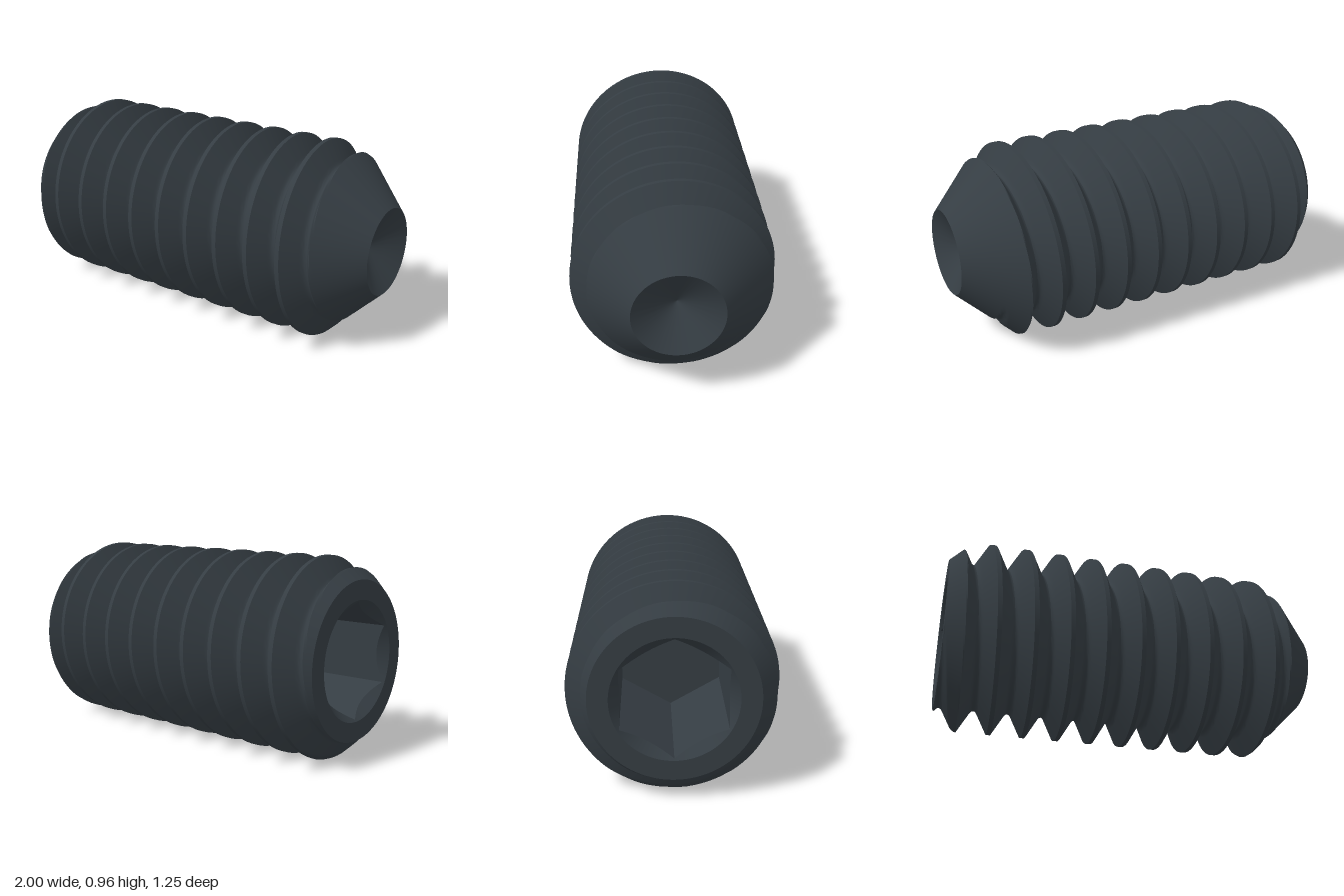
import * as THREE from 'three';
import { toCreasedNormals } from 'three/addons/utils/BufferGeometryUtils.js';

const SIDES = 96;
const CREST = 0.48, ROOT = 0.367, PITCH = 0.172;
const START = -0.959, END = 0.959;        // socket face and cup rim along the axis
const PHASE = 0.565;                      // axial position of a crest at angle 0
const FACE_R = 0.378, RIM_R = 0.21;       // radii of socket face and cup rim
const SINK_R = 0.285, APOTHEM = 0.24, SOCKET_DEPTH = 0.6;

// Sweeps a profile(angle) -> [[axial, radius], ...] around the x axis.
function skin(profile, crease = 0.5) {
  const rings = [];
  for (let j = 0; j <= SIDES; j++) {
    const a = (j / SIDES) * Math.PI * 2;
    rings.push(profile(a).map(([s, r]) => new THREE.Vector3(s, r * Math.sin(a), -r * Math.cos(a))));
  }
  const out = [];
  const tri = new THREE.Triangle();
  const add = (a, b, c) => {
    if (tri.set(a, b, c).getArea() < 1e-8) return;
    for (const p of [a, b, c]) out.push(p.x, p.y, p.z);
  };
  for (let j = 0; j < SIDES; j++) {
    const p = rings[j], q = rings[j + 1];
    for (let i = 0; i < p.length - 1; i++) {
      add(p[i], q[i], q[i + 1]);
      add(p[i], q[i + 1], p[i + 1]);
    }
  }
  const geometry = new THREE.BufferGeometry();
  geometry.setAttribute('position', new THREE.Float32BufferAttribute(out, 3));
  return toCreasedNormals(geometry, crease);
}

// Thread section: flat crest, 30 degree flanks, rounded root (t in pitches).
const HALF = [0, 0.0625, 0.09, 0.12, 0.15, 0.18, 0.21, 0.24, 0.27, 0.3, 0.33, 0.365, 0.4, 0.43, 0.46, 0.5];
const STEPS = [...HALF, ...HALF.slice(1, -1).reverse().map((t) => 1 - t)];
function threadRadius(t) {
  const d = Math.min(t, 1 - t);
  if (d <= 0.0625) return CREST;
  if (d <= 0.4) return CREST - (d - 0.0625) * PITCH * Math.sqrt(3);
  const edge = CREST - 0.3375 * PITCH * Math.sqrt(3);
  return ROOT + (edge - ROOT) * ((0.5 - d) / 0.1) ** 2;
}

// Right-hand helix trimmed by the chamfer at one end and the cone at the other.
function bodyProfile(angle) {
  const points = [];
  for (let k = -10; k <= 2; k++) {
    for (const t of STEPS) {
      const s = THREE.MathUtils.clamp(PHASE + PITCH * (k + t + angle / (2 * Math.PI)), START, END);
      const r = Math.min(threadRadius(t), FACE_R + 0.9 * (s - START), RIM_R + (END - s));
      // clamped points sit on the end circles
      points.push([s, s === START ? FACE_R : s === END ? RIM_R : r]);
    }
  }
  return points;
}

// Hexagon radius, with corners at the top and bottom.
function hexRadius(angle) {
  const sector = Math.PI / 3;
  const local = (((angle % sector) + sector) % sector) - sector / 2;
  // flats face angle 0, 60, 120...
  return APOTHEM / Math.cos(sector / 2 - Math.abs(local));
}

function socketProfile(angle) {
  const h = hexRadius(angle);
  return [
    [START + SOCKET_DEPTH, 0],
    [START + SOCKET_DEPTH, h],
    [START + SINK_R - h, h],
    [START, SINK_R],
    [START, FACE_R],
  ];
}

const cupProfile = () => [[END, RIM_R], [END - 0.06, RIM_R / 2], [END - 0.12, 0]];

export function createModel() {
  const steel = new THREE.MeshStandardMaterial({ color: 0x353d43 });
  steel.name = 'blackened steel';

  const screw = new THREE.Group();
  screw.name = 'setScrew';
  const part = (name, geometry) => {
    const mesh = new THREE.Mesh(geometry, steel);
    mesh.name = name;
    screw.add(mesh);
  };
  part('threadedBody', skin(bodyProfile));
  part('hexSocket', skin(socketProfile, 0.4));
  part('cupPoint', skin(cupProfile));

  // lying on its crests, turned slightly toward the front
  screw.rotation.y = -THREE.MathUtils.degToRad(12.1);
  screw.position.set(0.0175, CREST, 0.0125);

  const model = new THREE.Group();
  model.name = 'model';
  model.add(screw);
  return model;
}
